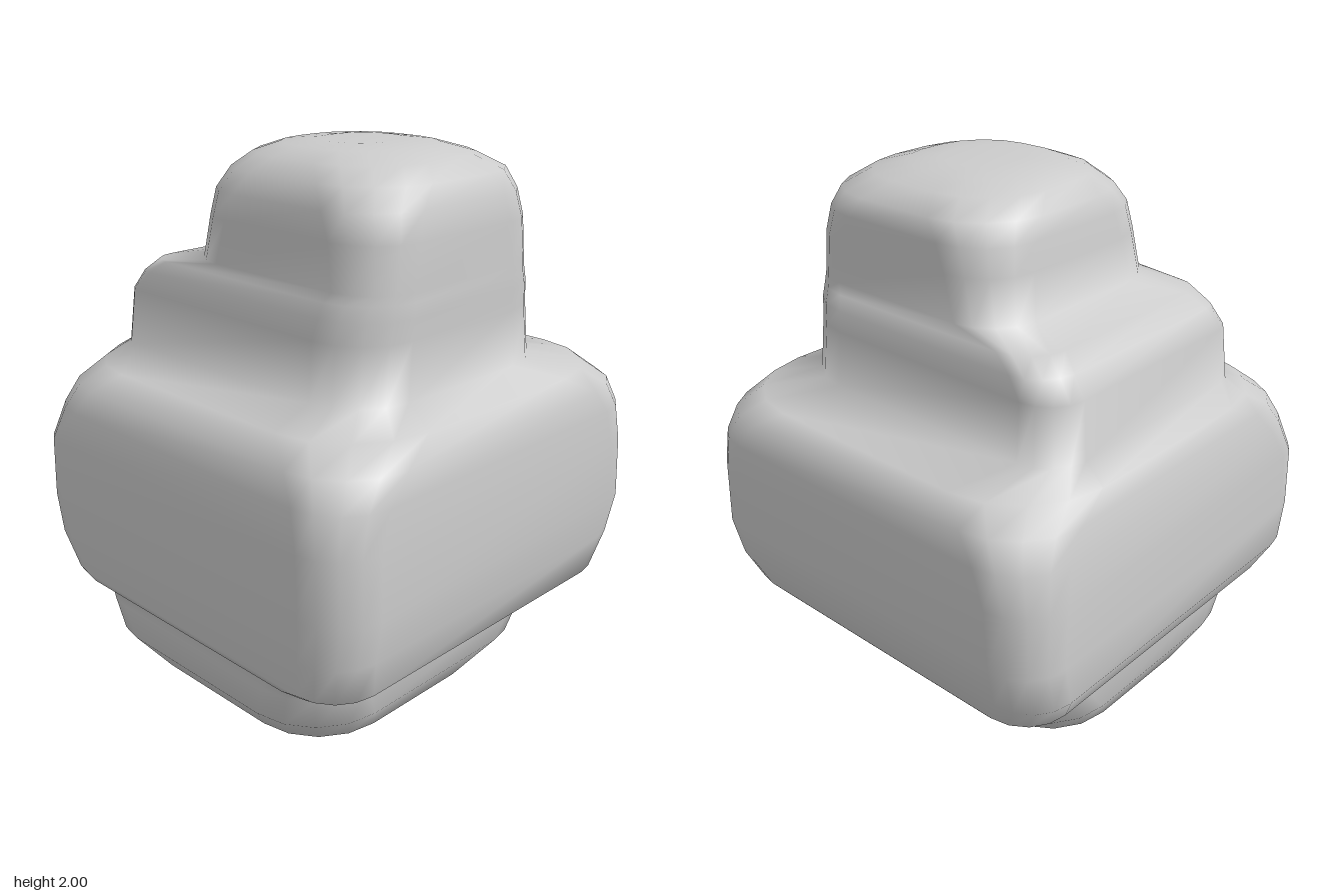
import * as THREE from 'three';

const STEPS = 4; // segments per rounded corner

// Rounded rectangle ring, counter-clockwise seen from above.
// Corner radii: back left, back right, front right, front left.
function ring([y, x0, x1, z0, z1, radii]) {
  const corners = [[x1, z0, -1, 1], [x0, z0, 1, 1], [x0, z1, 1, -1], [x1, z1, -1, -1]];
  return corners.flatMap(([cx, cz, sx, sz], k) => {
    const r = radii[k];
    return Array.from({ length: STEPS + 1 }, (_, i) => {
      const a = (k + i / STEPS) * Math.PI / 2;
      return [cx + sx * r + r * Math.cos(a), y, cz + sz * r - r * Math.sin(a)];
    });
  });
}

// Smooth closed loft through sections [y, right x, left x, back z, front z, radii]
function loft(sections) {
  const rings = sections.map(ring);
  const n = rings[0].length;
  const positions = rings.flat(2);
  const index = [];
  for (let j = 0; j < rings.length - 1; j++) {
    for (let i = 0; i < n; i++) {
      const a = j * n + i, b = j * n + (i + 1) % n;
      index.push(a, b, b + n, a, b + n, a + n);
    }
  }
  // Caps share the end rings, so the ends shade softly too
  const cap = (j, up) => {
    const center = positions.length / 3;
    positions.push(...[0, 1, 2].map(k => rings[j].reduce((s, p) => s + p[k], 0) / n));
    for (let i = 0; i < n; i++) {
      const a = j * n + i, b = j * n + (i + 1) % n;
      index.push(center, up ? a : b, up ? b : a);
    }
  };
  cap(0, false);
  cap(rings.length - 1, true);
  const geometry = new THREE.BufferGeometry();
  geometry.setAttribute('position', new THREE.Float32BufferAttribute(positions, 3));
  geometry.setIndex(index);
  geometry.computeVertexNormals();
  return geometry;
}

const even = r => [r, r, r, r];

export function createModel() {
  // Rounded foot, set forward under the body
  const base = [
    [0.0, -0.31, 0.39, -0.26, 0.38, even(0.18)],
    [0.02, -0.46, 0.44, -0.31, 0.5, even(0.23)],
    [0.06, -0.56, 0.5, -0.37, 0.6, even(0.27)],
    [0.18, -0.62, 0.58, -0.46, 0.69, [0.22, 0.27, 0.24, 0.28]],
    [0.3, -0.63, 0.59, -0.52, 0.7, [0.2, 0.24, 0.2, 0.25]],
    [0.385, -0.64, 0.6, -0.56, 0.7, [0.18, 0.2, 0.18, 0.22]],
  ];

  // Wide block with softly rounded top corners
  const body = [
    [0.395, -0.7, 0.68, -0.68, 0.76, even(0.18)],
    [0.42, -0.72, 0.75, -0.7, 0.77, even(0.17)],
    [0.55, -0.79, 0.77, -0.76, 0.785, even(0.17)],
    [0.7, -0.79, 0.79, -0.79, 0.79, [0.18, 0.17, 0.14, 0.18]],
    [0.92, -0.785, 0.785, -0.79, 0.79, [0.19, 0.18, 0.15, 0.18]],
    [1.05, -0.765, 0.775, -0.785, 0.77, even(0.21)],
    [1.14, -0.745, 0.765, -0.765, 0.74, even(0.26)],
    [1.21, -0.72, 0.72, -0.71, 0.67, even(0.33)],
  ];

  // Step on the right side, rising into the offset head
  const shoulder = [
    [1.255, -0.63, 0.585, -0.5, 0.5, [0.24, 0.15, 0.09, 0.22]],
    [1.45, -0.61, 0.58, -0.48, 0.48, [0.24, 0.14, 0.08, 0.22]],
    [1.52, -0.56, 0.58, -0.47, 0.465, [0.23, 0.14, 0.08, 0.21]],
    [1.57, -0.5, 0.58, -0.45, 0.45, [0.22, 0.15, 0.1, 0.2]],
  ];

  const head = [
    [1.6, -0.33, 0.575, -0.425, 0.43, even(0.18)],
    [1.75, -0.305, 0.575, -0.42, 0.425, even(0.2)],
    [1.84, -0.29, 0.56, -0.415, 0.42, even(0.22)],
    [1.91, -0.275, 0.53, -0.405, 0.38, even(0.25)],
    [1.96, -0.22, 0.47, -0.32, 0.33, even(0.25)],
    [1.99, -0.14, 0.36, -0.23, 0.25, even(0.2)],
    [2.0, -0.02, 0.25, -0.14, 0.15, even(0.12)],
  ];

  // One continuous skin keeps the shading soft from part to part
  const mesh = new THREE.Mesh(
    loft([...base, ...body, ...shoulder, ...head]),
    new THREE.MeshStandardMaterial({ color: 0xcccccc })
  );
  mesh.name = 'stackedBlocks';
  const group = new THREE.Group();
  group.name = 'stackedForm';
  group.add(mesh);
  return group;
}
